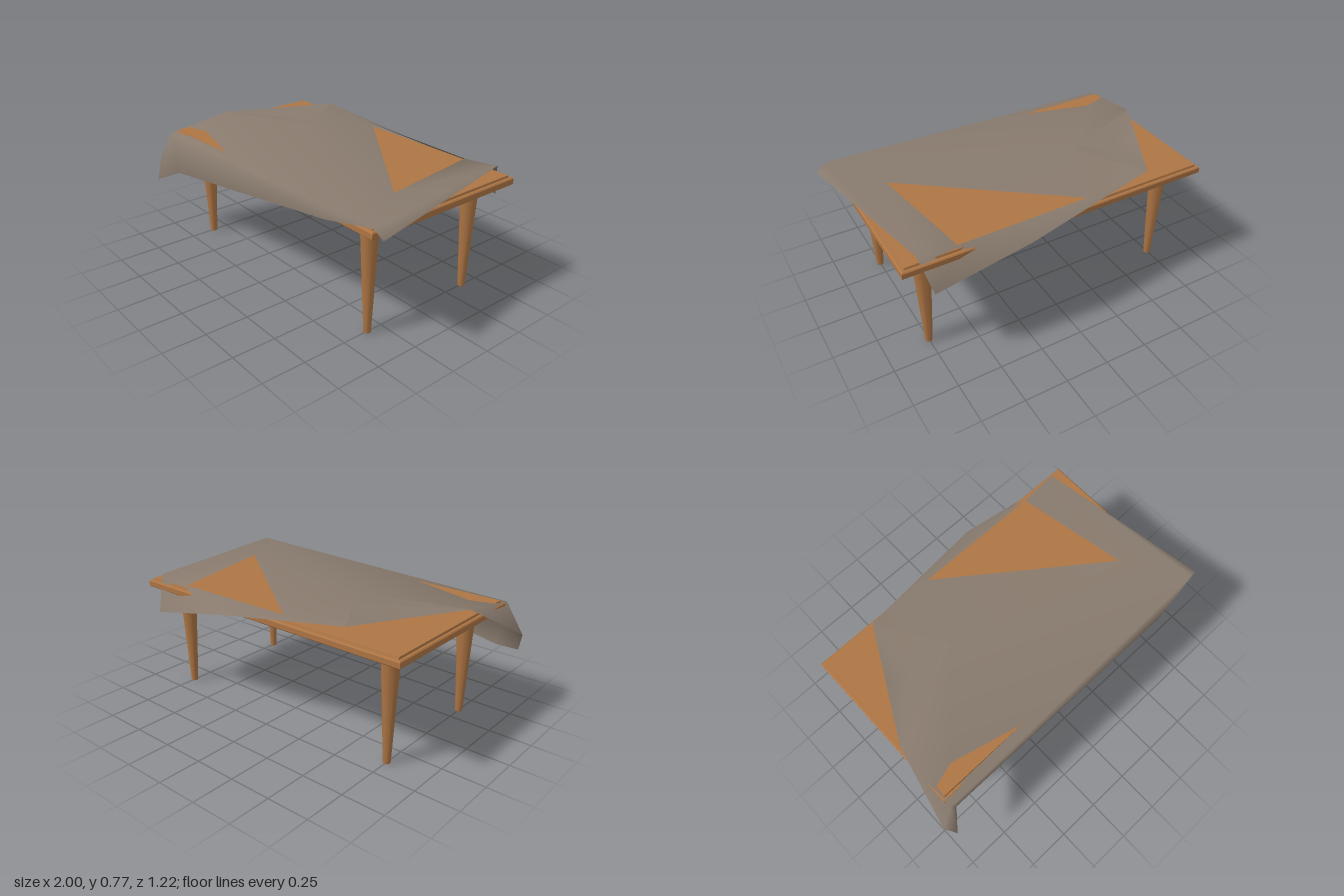
import * as THREE from 'three';

const wood = new THREE.MeshStandardMaterial({ name: 'warm wood', color: 0xad7544 });
const fabric = new THREE.MeshStandardMaterial({ name: 'grey brown cloth', color: 0x887a6d, side: THREE.DoubleSide });

function add(parent, name, geometry, material, x = 0, y = 0, z = 0) {
  const mesh = new THREE.Mesh(geometry, material);
  mesh.name = name;
  mesh.position.set(x, y, z);
  parent.add(mesh);
  return mesh;
}

// Rectangular slab with chamfered rims, made from a four-sided frustum stack
function slab(w, d, layers) {
  const profile = layers.map(([inset, y]) => new THREE.Vector2(1 - inset, y));
  const pos = [];
  const corner = (inset, y, k) => {
    const sx = k === 0 || k === 3 ? 1 : -1, sz = k < 2 ? 1 : -1;
    return [sx * (w / 2 - inset), y, sz * (d / 2 - inset)];
  };
  const quad = (a, b, c, e) => pos.push(...a, ...b, ...c, ...a, ...c, ...e);
  for (let i = 0; i < profile.length - 1; i++) {
    for (let k = 0; k < 4; k++) {
      const n = (k + 1) % 4;
      quad(corner(...layers[i], n), corner(...layers[i], k), corner(...layers[i + 1], k), corner(...layers[i + 1], n));
    }
  }
  const top = layers[layers.length - 1], low = layers[0];
  quad(corner(...top, 0), corner(...top, 3), corner(...top, 2), corner(...top, 1));
  quad(corner(...low, 0), corner(...low, 1), corner(...low, 2), corner(...low, 3));
  const g = new THREE.BufferGeometry();
  g.setAttribute('position', new THREE.Float32BufferAttribute(pos, 3));
  g.computeVertexNormals();
  return g;
}

// Smooth sheet from named points and triangles written as point letters
function sheet(points, faces) {
  const keys = Object.keys(points);
  const g = new THREE.BufferGeometry();
  g.setAttribute('position', new THREE.Float32BufferAttribute(keys.flatMap((k) => points[k]), 3));
  g.setIndex(faces.flatMap((f) => [...f].map((k) => keys.indexOf(k))));
  g.computeVertexNormals();
  return g;
}

export function createModel() {
  const model = new THREE.Group();
  model.name = 'drapedTable';

  // Table top with a stepped rim
  add(model, 'tableTop', slab(1.82, 1.02, [
    [0.006, 0.632], [0, 0.638], [0, 0.667], [0.006, 0.673], [0.018, 0.673], [0.022, 0.685],
  ]), wood, 0, 0, -0.03);

  // Four tapered legs
  for (const x of [-0.75, 0.75]) {
    for (const z of [-0.38, 0.345]) {
      const leg = new THREE.CylinderGeometry(0.053, 0.021, 0.64, 8).rotateY(Math.PI / 8);
      add(model, 'leg', leg, wood, x, 0.32, z);
    }
  }

  const cloth = new THREE.Group();
  cloth.name = 'cloth';
  model.add(cloth);

  const p = {
    A: [-0.89, 0.73, 0.12],
    B: [-1.0, 0.48, 0.55],
    C: [-0.96, 0.36, 0.605],
    D: [-0.9, 0.665, 0.52],
    W: [-0.87, 0.405, 0.5],
    E: [0.64, 0.66, 0.54],
    F: [0.94, 0.713, 0.5],
    P: [0.995, 0.67, 0.49],
    M: [0.71, 0.71, 0.15],
    L: [0.6, 0.697, -0.505],
    N: [0.82, 0.72, -0.51],
    Q: [-0.16, 0.706, -0.505],
    G: [-0.56, 0.742, -0.5],
    I: [-0.34, 0.742, -0.12],
    R: [0.23, 0.64, -0.61],
    S: [0.77, 0.515, -0.587],
  };

  // Spread over the top, leaving a bare triangle Q-L-M, and falling at the left, front and back
  add(cloth, 'clothSpread', sheet(p, [
    'GIQ', 'IMQ', 'IAD', 'IDF', 'IFM',
    'ABD', 'BCD', 'CWD', 'DWE', 'DEF',
    'GQR', 'QLR', 'LSR', 'LNS',
    'LMN', 'MFN', 'FPN',
  ]), fabric);

  // Corner turned back on itself: lower pocket and lifted flap
  add(cloth, 'foldPocket', sheet(
    { A: p.A, G: p.G, I: p.I, J: [-0.725, 0.737, -0.19], K: [-0.6, 0.712, -0.15] },
    ['GJK', 'JAK', 'GKI', 'KAI'],
  ), fabric);
  add(cloth, 'foldFlap', sheet(
    { A: p.A, H: [-0.47, 0.772, -0.265], I: [-0.34, 0.768, -0.125] },
    ['AIH'],
  ), fabric);

  return model;
}
